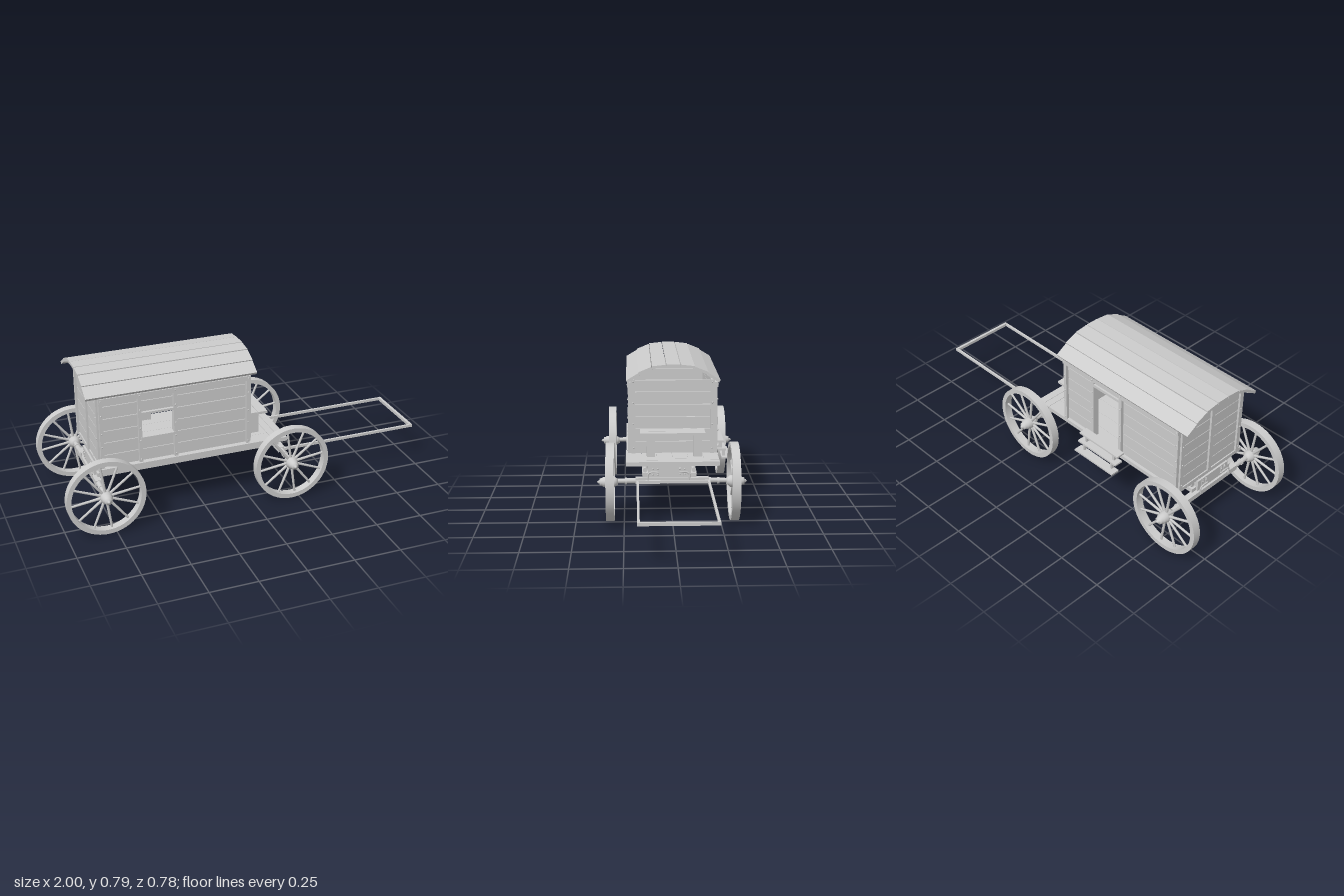
import * as THREE from 'three';

export function createModel() {
  const wagon = new THREE.Group();
  wagon.name = 'wagon';
  const mat = new THREE.MeshStandardMaterial({ color: 0xcccccc, side: THREE.DoubleSide });

  const add = (name, geo, parent = wagon) => {
    const m = new THREE.Mesh(geo, mat);
    m.name = name;
    parent.add(m);
    return m;
  };
  // Box given by its limits on each axis
  const box = (name, x0, x1, y0, y1, z0, z1, parent) => {
    const m = add(name, new THREE.BoxGeometry(x1 - x0, y1 - y0, Math.abs(z1 - z0)), parent);
    m.position.set((x0 + x1) / 2, (y0 + y1) / 2, (z0 + z1) / 2);
    return m;
  };
  const rod = (name, a, b, r0, r1 = r0, parent = wagon, sides = 10) => {
    const A = new THREE.Vector3(...a), B = new THREE.Vector3(...b), d = B.clone().sub(A);
    const m = add(name, new THREE.CylinderGeometry(r1, r0, d.length(), sides), parent);
    m.position.copy(A).add(B).multiplyScalar(0.5);
    m.quaternion.setFromUnitVectors(new THREE.Vector3(0, 1, 0), d.normalize());
    return m;
  };
  const bolt = (x, y, z) => add('bolt', new THREE.SphereGeometry(0.0045, 8, 6)).position.set(x, y, z);

  const X0 = -0.785, X1 = 0.012, ZC = -0.01, HALF = 0.222;
  const rows = [0.31, 0.375, 0.443, 0.508, 0.575, 0.642, 0.705];
  const GAP = 0.003;

  // Floor boards, running the length of body and porch
  for (let i = 0; i < 6; i++) {
    const z = -0.248 + i * 0.0813;
    box('floorBoard', X0 - 0.005, 0.135, 0.288, 0.31, z, z + 0.0803);
  }
  box('porchBoard', 0.137, 0.175, 0.288, 0.31, -0.248, 0.24);
  box('porchBoard', 0.177, 0.218, 0.288, 0.31, -0.248, 0.24);

  // Side walls, planked around a window (front) and a door (back)
  const openings = {
    1: { x0: -0.57, x1: -0.40, y0: 0.443, y1: 0.575 },
    '-1': { x0: -0.39, x1: -0.21, y0: 0.31, y1: 0.642 },
  };
  for (const s of [1, -1]) {
    const o = openings[s];
    const zi = ZC + s * (HALF - 0.018), zo = ZC + s * HALF, zp = ZC + s * 0.238;
    for (let i = 0; i < 6; i++) {
      const y0 = rows[i] + GAP / 2, y1 = rows[i + 1] - GAP / 2;
      const open = y0 > o.y0 - 0.01 && y1 < o.y1 + 0.01;
      const spans = open ? [[X0, o.x0], [o.x1, X1]] : [[X0, X1]];
      for (const [a, b] of spans) box('sidePlank', a, b, y0, y1, zi, zo);
    }
    const posts = [X0, o.x0 - 0.016, o.x1, X1 - 0.02];
    for (const x of posts) {
      box('sidePost', x, x + 0.018, 0.31, 0.667, zi, zp);
      for (const y of [0.325, 0.43, 0.5, 0.6]) bolt(x + 0.009, y, zp);
    }
    box('topRail', X0, X1, 0.667, 0.693, zo, ZC + s * 0.241);
    for (const x of posts) bolt(x + 0.009, 0.68, ZC + s * 0.241);
    if (s > 0) {
      box('windowSill', o.x0 - 0.005, o.x1 + 0.005, 0.434, 0.448, zi, zp + 0.003);
      box('windowHead', o.x0, o.x1, 0.572, 0.584, zi, zp);
    } else {
      box('doorHead', o.x0, o.x1, 0.637, 0.652, zi, zp);
    }
  }

  // End walls with edge battens
  for (const s of [1, -1]) {
    const xw = s > 0 ? X1 : X0, xi = xw - s * 0.018, xo = xw + s * 0.011;
    const lim = (a, b) => [Math.min(a, b), Math.max(a, b)];
    const [a, b] = lim(xi, xw), [c, d] = lim(xw, xo);
    for (let i = 0; i < 6; i++)
      box('endPlank', a, b, rows[i] + GAP / 2, rows[i + 1] - GAP / 2, ZC - HALF, ZC + HALF);
    for (const t of [1, -1]) {
      const z = ZC + t * 0.21;
      box('endBatten', c, d, 0.31, 0.707, z - 0.011, z + 0.011);
      for (const y of [0.34, 0.47, 0.585, 0.697]) bolt(xo, y, z);
    }
    if (s < 0) box('centreBatten', c, d, 0.31, 0.707, ZC - 0.011, ZC + 0.011);
  }

  // Arched roof of seven long boards
  const arc = [[0.036, 0.785, -0.036, 0.785], [0.039, 0.784, 0.112, 0.776],
    [0.113, 0.773, 0.182, 0.745], [0.18, 0.741, 0.245, 0.702]];
  const roofBoard = (z0, y0, z1, y1) => {
    const m = add('roofBoard', new THREE.BoxGeometry(0.895, 0.015, Math.hypot(z1 - z0, y1 - y0)));
    m.position.set(-0.4025, (y0 + y1) / 2, (z0 + z1) / 2 - 0.012);
    m.rotation.x = -Math.atan((y1 - y0) / (z1 - z0));
  };
  arc.forEach(([z0, y0, z1, y1], i) => {
    roofBoard(z0, y0, z1, y1);
    if (i) roofBoard(-z0, y0, -z1, y1);
  });

  // Driver's bench
  box('benchSeat', 0.025, 0.08, 0.431, 0.444, -0.177, 0.165);
  box('benchSeat', 0.083, 0.135, 0.431, 0.444, -0.177, 0.165);
  for (const z of [0.108, -0.138]) box('benchLeg', 0.035, 0.1, 0.31, 0.431, z - 0.022, z + 0.022);

  // Undercarriage
  box('chassis', -0.8, 0.212, 0.225, 0.288, -0.098, 0.125);
  for (const z of [0.14, -0.113]) {
    box('sideRail', -0.79, 0.205, 0.225, 0.248, z - 0.015, z + 0.015);
    rod('railCap', [-0.78, 0.263, z], [0.2, 0.263, z], 0.012);
  }
  box('perch', -0.795, 0.207, 0.2, 0.226, -0.03, 0.03);

  // Strap plates and hooks on both chassis ends
  for (const [x, s] of [[0.212, 1], [-0.8, -1]]) {
    for (const z of [0.1, 0.075, -0.04, -0.065]) {
      box('strapPlate', x - 0.003, x + 0.004, 0.235, 0.281, z - 0.005, z + 0.005);
      bolt(x + s * 0.004, 0.243, z);
      bolt(x + s * 0.004, 0.272, z);
    }
    for (const t of [1, -1]) {
      const z = 0.0175;
      const pts = [[0.055, 0.256], [0.095, 0.256], [0.106, 0.248], [0.106, 0.215]];
      const path = new THREE.CatmullRomCurve3(
        pts.map(([w, y]) => new THREE.Vector3(x + s * 0.012, y, z + t * w)));
      add('hook', new THREE.TubeGeometry(path, 16, 0.004, 8));
    }
  }

  // Wheels, hubs and axles
  const rimProfile = [[0.18, -0.0215], [0.204, -0.0215], [0.204, 0.0215], [0.18, 0.0215], [0.18, -0.0215]];
  const hubProfile = [[0, -0.04], [0.017, -0.04], [0.021, -0.03], [0.031, -0.02], [0.031, 0.018],
    [0.026, 0.026], [0.026, 0.036], [0.019, 0.046], [0.019, 0.054], [0.009, 0.056], [0.008, 0.062], [0, 0.069]];
  const lathe = (pts, n) => {
    // Repeat corners as separate bands so edges stay crisp
    const g = new THREE.LatheGeometry(pts.map(p => new THREE.Vector2(...p)), n);
    return g.rotateX(Math.PI / 2);
  };
  for (const x of [-0.795, 0.207]) {
    for (const s of [1, -1]) {
      const wheel = new THREE.Group();
      wheel.name = 'wheel';
      wheel.position.set(x, 0.204, s * 0.3215);
      if (s < 0) wheel.rotation.y = Math.PI;
      wagon.add(wheel);
      for (let i = 0; i < 4; i++) add('rim', lathe(rimProfile.slice(i, i + 2), 56), wheel);
      add('hub', lathe(hubProfile, 24), wheel);
      for (let i = 0; i < 12; i++) {
        const a = (i + (s > 0 ? 0.25 : 0.75)) * Math.PI / 6, c = Math.cos(a), d = Math.sin(a);
        rod('spoke', [c * 0.025, d * 0.025, 0], [c * 0.184, d * 0.184, 0], 0.0075, 0.006, wheel, 8);
      }
      rod('axleArm', [x, 0.21, s * 0.18], [x, 0.208, s * 0.29], 0.015, 0.012);
      rod('axleCollar', [x, 0.208, s * 0.235], [x, 0.208, s * 0.245], 0.018);
    }
    box('axleBeam', x - 0.016, x + 0.016, 0.197, 0.226, -0.19, 0.19);
  }

  // Draw shafts with a closing bar
  for (const z of [0.18, -0.19]) {
    const shaft = box('shaft', 0.22, 1, 0.201, 0.215, z - 0.006, z + 0.006);
    shaft.name = 'drawShaft';
  }
  box('shaftEndBar', 0.985, 1, 0.2, 0.216, -0.196, 0.186);
  box('shaftCrossBar', 0.215, 0.236, 0.199, 0.215, -0.196, 0.19);

  // Door steps
  const steps = [[0.328, -0.248, -0.297], [0.283, -0.262, -0.31], [0.236, -0.285, -0.334]];
  for (const [y, z0, z1] of steps) box('stepTread', -0.43, -0.157, y, y + 0.01, z1, z0);
  for (const x of [-0.4, -0.2]) {
    box('stepBracket', x, x + 0.012, 0.29, 0.33, -0.29, -0.27);
    box('stepBracket', x, x + 0.012, 0.24, 0.285, -0.305, -0.29);
    box('stepArm', x, x + 0.012, 0.293, 0.305, -0.29, -0.24);
  }
  return wagon;
}
